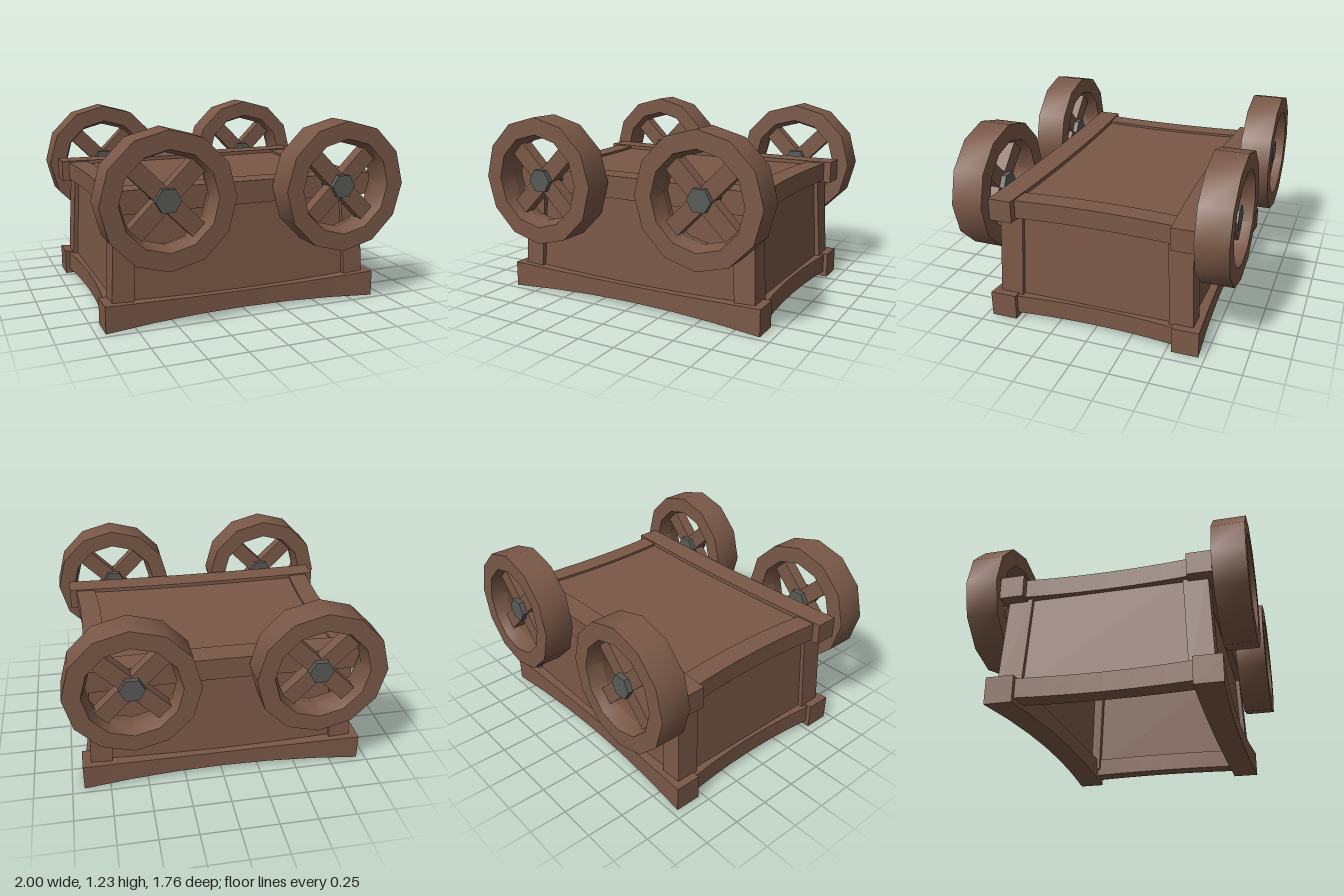
import * as THREE from 'three';
import { toCreasedNormals } from 'three/addons/utils/BufferGeometryUtils.js';

export function createModel() {
  const wood = new THREE.MeshStandardMaterial({ color: 0x7a5847 });
  wood.name = 'brown wood';
  const iron = new THREE.MeshStandardMaterial({ color: 0x585a56 });
  iron.name = 'grey iron';

  const model = new THREE.Group();
  model.name = 'cart';

  function add(parent, name, geometry, material = wood) {
    const mesh = new THREE.Mesh(geometry, material);
    mesh.name = name;
    parent.add(mesh);
    return mesh;
  }

  // Unit box whose corners are placed by a rule; u runs -1..1 along x, v and w are 0 or 1
  function shapedBox(segments, place) {
    const g = new THREE.BoxGeometry(2, 1, 1, segments, 1, 1);
    const p = g.attributes.position;
    for (let i = 0; i < p.count; i++) {
      p.setXYZ(i, ...place(p.getX(i), p.getY(i) + 0.5, p.getZ(i) + 0.5));
    }
    return toCreasedNormals(g, 0.5);
  }

  // Beam along x, with separate [bottom, top, inner, outer] limits at its ends and middle
  function beam(halfLength, ends, middle) {
    return shapedBox(6, (u, v, w) => {
      const k = u * u;
      const [y0, y1, z0, z1] = ends.map((e, i) => THREE.MathUtils.lerp(middle[i], e, k));
      return [u * halfLength, y0 + v * (y1 - y0), z0 + w * (z1 - z0)];
    });
  }

  // Wall board leaning inward towards the top
  function board(low, high, inset) {
    return shapedBox(1, (u, v, w) => [
      u * (v ? high[0] : low[0]),
      v ? 0.8 : 0.08,
      (v ? high[1] : low[1]) - inset * (1 - w),
    ]);
  }

  const body = new THREE.Group();
  body.name = 'body';
  body.position.x = -0.01;
  model.add(body);

  // Front and back: long rails and boards
  for (const [side, turn] of [['front', 0], ['back', Math.PI]]) {
    const half = new THREE.Group();
    half.name = side + 'Wall';
    half.rotation.y = turn;
    body.add(half);
    add(half, 'lowerRail', beam(0.932, [0, 0.172, 0.535, 0.71], [0.033, 0.145, 0.51, 0.675]));
    add(half, 'upperRail', beam(0.932, [0.71, 0.856, 0.517, 0.67], [0.71, 0.856, 0.488, 0.648]));
    add(half, 'wallBoard', board([0.8, 0.63], [0.77, 0.605], 0.06));
  }

  // Left and right: short rails and boards
  for (const [side, turn] of [['left', Math.PI / 2], ['right', -Math.PI / 2]]) {
    const half = new THREE.Group();
    half.name = side + 'Wall';
    half.rotation.y = turn;
    body.add(half);
    add(half, 'lowerRail', beam(0.545, [0.035, 0.16, 0.77, 0.905], [0.035, 0.16, 0.745, 0.872]));
    add(half, 'upperRail', beam(0.53, [0.725, 0.846, 0.752, 0.885], [0.725, 0.846, 0.722, 0.858]));
    add(half, 'wallBoard', board([0.58, 0.85], [0.55, 0.82], 0.06));
  }

  // Leaning corner posts
  for (const sx of [-1, 1]) for (const sz of [-1, 1]) {
    const g = shapedBox(1, (u, v, w) => [
      sx * sz * (0.812 - 0.034 * v) + u * 0.07,
      0.08 + v * 0.68,
      0.508 - 0.028 * v + w * 0.155,
    ]);
    if (sz < 0) g.rotateY(Math.PI);
    add(body, 'cornerPost', g);
  }

  // Floor panel closing the upper side
  const floor = add(body, 'floorPanel', new THREE.BoxGeometry(1.56, 0.06, 1.1));
  floor.position.y = 0.8;

  // Wheels: twelve-sided rim, crossed spokes, six-sided hub
  const rimProfile = [
    [0.417, -0.103], [0.417, 0.103], [0.305, 0.103],
    [0.275, 0], [0.305, -0.103], [0.417, -0.103],
  ].map(([r, y]) => new THREE.Vector2(r, y));
  const rim = toCreasedNormals(new THREE.LatheGeometry(rimProfile, 12).rotateX(Math.PI / 2), 0.6);
  const spoke = new THREE.BoxGeometry(0.57, 0.11, 0.08);
  const hub = toCreasedNormals(
    new THREE.CylinderGeometry(0.08, 0.08, 0.15, 6).rotateY(Math.PI / 2).rotateX(Math.PI / 2), 0.5);

  for (const sx of [-1, 1]) for (const sz of [-1, 1]) {
    const wheel = new THREE.Group();
    wheel.name = (sz > 0 ? 'front' : 'back') + (sx > 0 ? 'Left' : 'Right') + 'Wheel';
    wheel.position.set(sx * 0.583, 0.815, sz * 0.778);
    add(wheel, 'rim', rim);
    for (const s of [-1, 1]) add(wheel, 'spoke', spoke).rotation.z = s * Math.PI / 4;
    add(wheel, 'hub', hub, iron);
    model.add(wheel);
  }
  return model;
}
